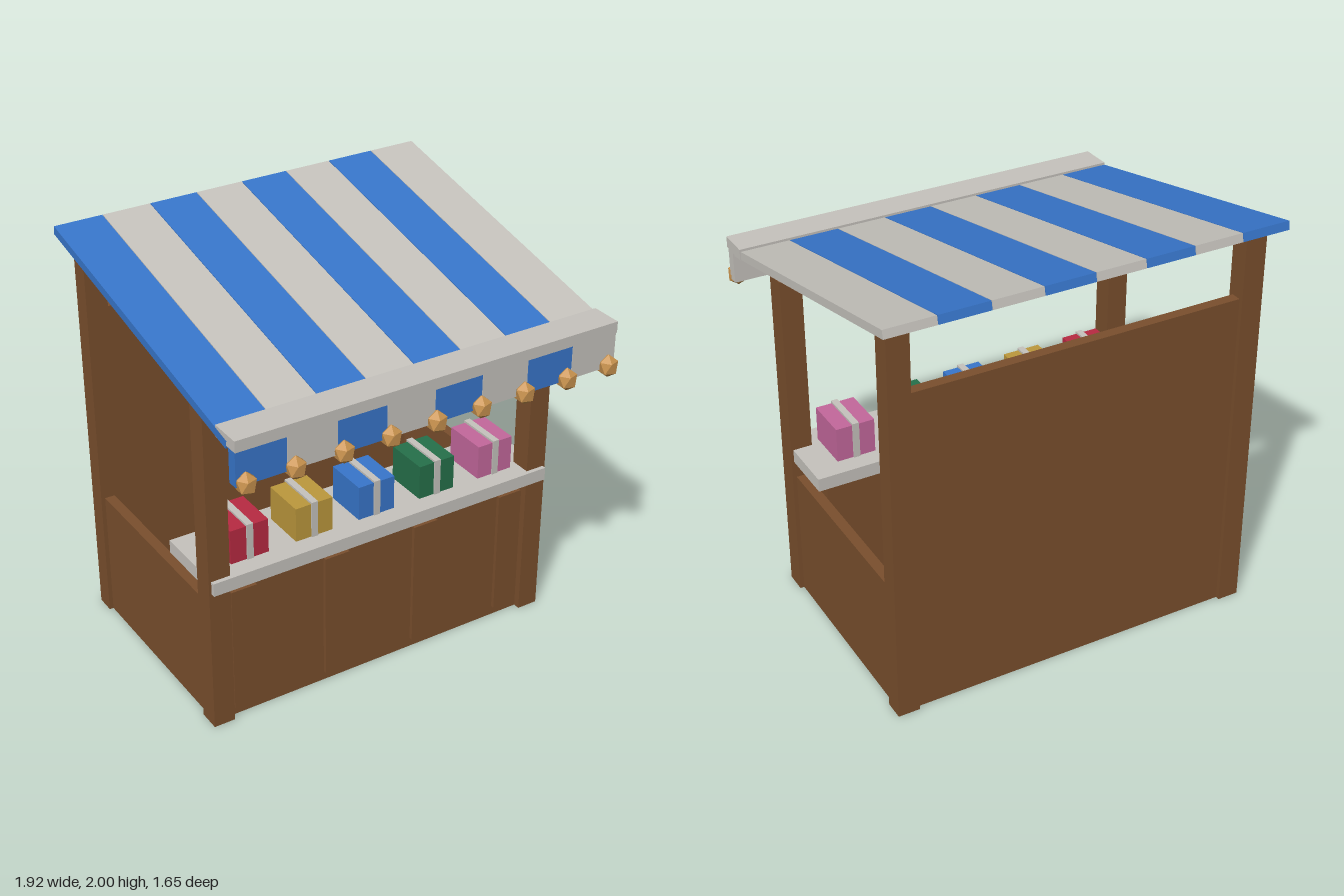
import * as THREE from 'three';

const mat = (name, color) => {
  const m = new THREE.MeshStandardMaterial({ color });
  m.name = name;
  return m;
};

export function createModel() {
  const wood = mat('wood brown', 0x7a4f2d);
  const blue = mat('awning blue', 0x3876cb);
  const cream = mat('canvas grey', 0xc6c3bd);
  const red = mat('gift red', 0xb82a42);
  const gold = mat('gift gold', 0xbc983c);
  const green = mat('gift green', 0x26704a);
  const pink = mat('gift pink', 0xc4689c);
  const amber = mat('lantern amber', 0xc8924e);
  amber.flatShading = true;

  const stall = new THREE.Group();
  stall.name = 'marketStall';

  // Box given by its minimum and maximum on each axis
  const box = (name, material, [x0, x1], [y0, y1], [z0, z1], parent = stall) => {
    const mesh = new THREE.Mesh(new THREE.BoxGeometry(x1 - x0, y1 - y0, z1 - z0), material);
    mesh.position.set((x0 + x1) / 2, (y0 + y1) / 2, (z0 + z1) / 2);
    mesh.name = name;
    parent.add(mesh);
    return mesh;
  };

  // Posts and side walls, mirrored
  for (const s of [-1, 1]) {
    const span = (a, b) => (s > 0 ? [a, b] : [-b, -a]);
    box('frontPost', wood, span(0.8, 0.905), [0, 1.663], [0.308, 0.413]);
    box('backPost', wood, span(0.8, 0.905), [0, 1.92], [-0.745, -0.651]);
    box('sideWall', wood, span(0.835, 0.885), [0, 0.64], [-0.7, 0.36]);
  }
  box('backWall', wood, [-0.83, 0.83], [0, 1.62], [-0.725, -0.675]);

  // Counter with battens on its front
  box('counterBase', wood, [-0.835, 0.835], [0, 0.725], [0.075, 0.38]);
  box('counterTop', cream, [-0.893, 0.893], [0.725, 0.79], [0.032, 0.434]);
  for (const x of [-0.725, -0.243, 0.238, 0.72]) {
    box('frontBatten', wood, [x - 0.064, x + 0.064], [0.047, 0.683], [0.37, 0.398]);
  }

  // Gifts, each with a ribbon around it
  [red, gold, blue, green, pink].forEach((material, i) => {
    const x = (i - 2) * 0.33;
    const gift = new THREE.Group();
    gift.name = 'gift';
    box('giftBox', material, [x - 0.095, x + 0.095], [0.79, 0.96], [0.123, 0.342], gift);
    box('giftRibbon', cream, [x - 0.016, x + 0.016], [0.79, 0.97], [0.116, 0.349], gift);
    stall.add(gift);
  });

  // Sloping striped roof and the valance below its front edge
  const roof = new THREE.Group();
  roof.name = 'roof';
  roof.position.set(0, 1.811, -0.056);
  roof.rotation.x = 0.215;
  stall.add(roof);
  const pitch = 0.239;
  for (let i = 0; i < 8; i++) {
    const x0 = -0.957 + i * pitch;
    const x = [x0, x0 + 0.236];
    const material = i % 2 ? cream : blue;
    box('roofStripe', material, x, [-0.02, 0.02], [-0.784, 0.784], roof);
    box('valanceFlap', material, x, [1.48, 1.641], [0.727, 0.778]);
  }
  box('frontTrim', cream, [-0.957, 0.957], [1.64, 1.694], [0.625, 0.779]);

  // Faceted lanterns hanging along the valance, one vertex pointing up
  const lanternShape = new THREE.IcosahedronGeometry(0.056, 0);
  lanternShape.rotateZ(Math.atan2(1, (1 + Math.sqrt(5)) / 2));
  lanternShape.scale(0.87, 1, 0.87);
  lanternShape.computeVertexNormals();
  for (let i = -4; i <= 4; i++) {
    const lantern = new THREE.Mesh(lanternShape, amber);
    lantern.name = 'lantern';
    lantern.position.set(i * 0.2285, 1.492, 0.786);
    stall.add(lantern);
  }

  return stall;
}
